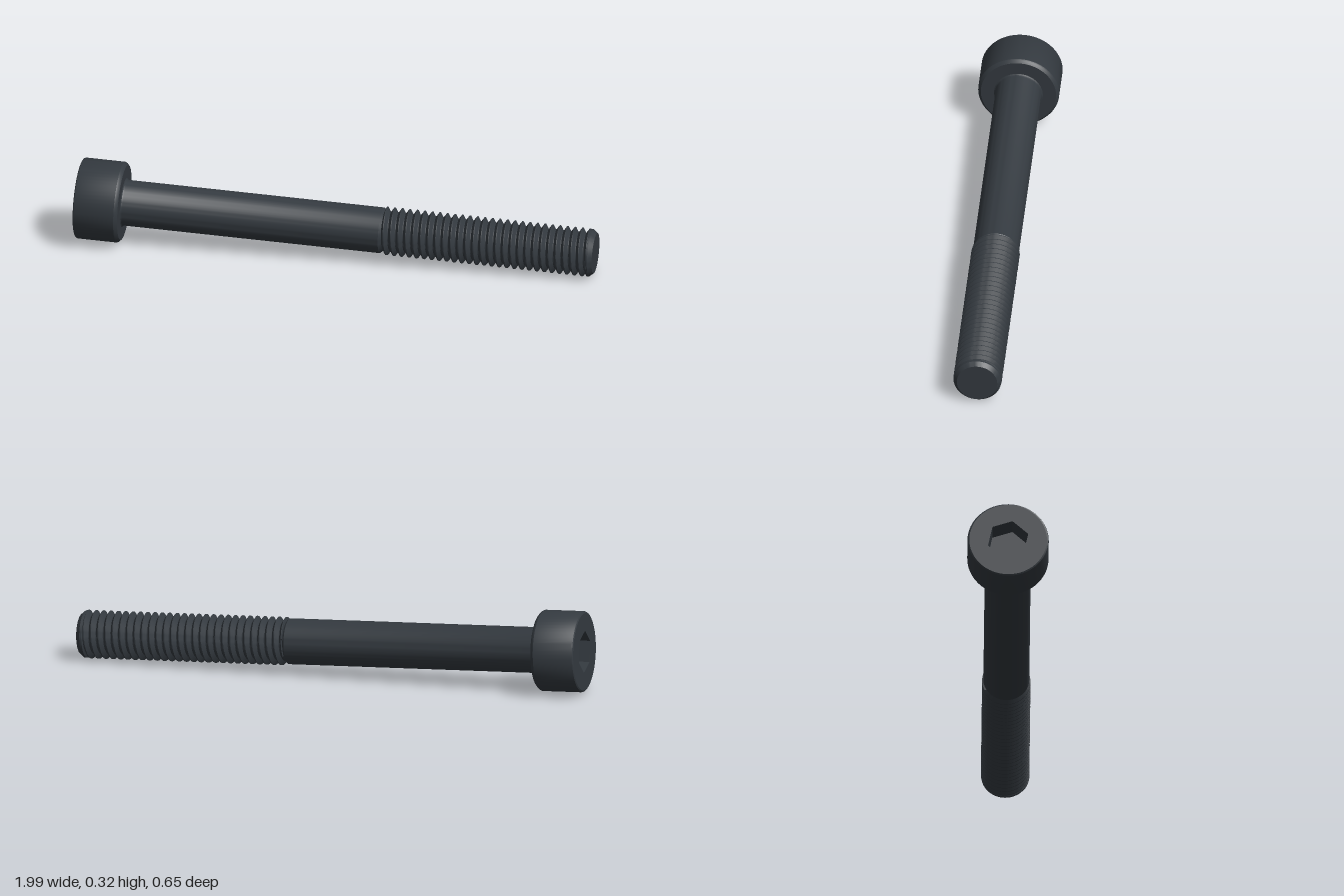
import * as THREE from 'three';
import { toCreasedNormals } from 'three/addons/utils/BufferGeometryUtils.js';

const SEGMENTS = 64;
const HEX_RADIUS = 0.08, HEX_DEPTH = 0.09;
const RIM = 0.147; // radius of the flat rear face of the head

// Surface of revolution about y from [radius, height] pairs
function turned(points) {
  const profile = points.map(([r, y]) => new THREE.Vector2(r, y));
  return toCreasedNormals(new THREE.LatheGeometry(profile, SEGMENTS), 0.4);
}

// Right-handed V thread: each row is one turn, sheared along the axis by its pitch
function threadGeometry(start, end, pitch, crest, root) {
  const section = [[0, root], [0.12, root], [0.5, crest], [0.62, crest]];
  const positions = [], index = [];
  const turns = Math.ceil((end - start) / pitch);
  let rows = 0;
  for (let k = -1; k <= turns; k++) {
    for (const [f, radius] of section) {
      for (let j = 0; j <= SEGMENTS; j++) {
        const t = j / SEGMENTS, a = t * Math.PI * 2;
        const s = start + pitch * (k + f + t);
        const r = s <= start || s >= end ? root : radius;
        positions.push(r * Math.sin(a), THREE.MathUtils.clamp(s, start, end), r * Math.cos(a));
      }
      rows++;
    }
  }
  const w = SEGMENTS + 1;
  for (let i = 0; i < rows - 1; i++) {
    for (let j = 0; j < SEGMENTS; j++) {
      const a = i * w + j, b = a + 1, c = b + w, d = a + w;
      index.push(a, b, c, a, c, d);
    }
  }
  const geometry = new THREE.BufferGeometry();
  geometry.setAttribute('position', new THREE.Float32BufferAttribute(positions, 3));
  geometry.setIndex(index);
  geometry.computeVertexNormals();
  return toCreasedNormals(geometry, 0.4);
}

export function createModel() {
  const steel = new THREE.MeshStandardMaterial({ color: 0x343a40, side: THREE.DoubleSide });
  steel.name = 'blackened steel';

  const bolt = new THREE.Group();
  bolt.name = 'socketHeadBolt';
  const add = (name, geometry) => {
    const mesh = new THREE.Mesh(geometry, steel);
    mesh.name = name;
    bolt.add(mesh);
    return mesh;
  };

  // Head: cylinder with bevelled rims and a flat underside
  add('head', turned([
    [RIM, 0], [0.152, 0.003], [0.154, 0.008],
    [0.154, 0.158], [0.151, 0.164], [0.143, 0.171], [0.085, 0.171],
  ]));

  // Rear face pierced by the hexagonal socket
  const face = new THREE.Shape().absarc(0, 0, RIM, 0, Math.PI * 2);
  const hole = new THREE.Path();
  for (let i = 0; i < 6; i++) {
    const a = -i * Math.PI / 3;
    const x = HEX_RADIUS * Math.cos(a), y = HEX_RADIUS * Math.sin(a);
    if (i === 0) hole.moveTo(x, y);
    else hole.lineTo(x, y);
  }
  hole.closePath();
  face.holes.push(hole);
  add('headFace', new THREE.ShapeGeometry(face, SEGMENTS / 2).rotateX(Math.PI / 2));

  // Socket walls and floor
  const walls = new THREE.CylinderGeometry(HEX_RADIUS, HEX_RADIUS, HEX_DEPTH, 6, 1, true, Math.PI / 2);
  add('socketWalls', toCreasedNormals(walls, 0.4)).position.y = HEX_DEPTH / 2;
  add('socketFloor', new THREE.CircleGeometry(HEX_RADIUS, 6).rotateX(Math.PI / 2)).position.y = HEX_DEPTH;

  // Plain shank with a small fillet under the head
  add('shank', turned([
    [0.094, 0.17], [0.089, 0.174], [0.087, 0.18], [0.087, 1.166], [0.075, 1.18],
  ]));

  // Threaded length and chamfered tip
  add('thread', threadGeometry(1.172, 1.972, 0.029, 0.092, 0.075));
  add('tip', turned([
    [0.075, 1.958], [0.09, 1.966], [0.09, 1.974], [0.077, 1.99], [0, 1.99],
  ]));

  // Lay the bolt down, head at the rear right and tip at the front left
  const headEnd = new THREE.Vector3(-0.966, 0.163, -0.175);
  const tipEnd = new THREE.Vector3(0.98, 0.092, 0.24);
  bolt.quaternion.setFromUnitVectors(
    new THREE.Vector3(0, 1, 0), tipEnd.clone().sub(headEnd).normalize());
  bolt.position.copy(headEnd);

  const model = new THREE.Group();
  model.name = 'bolt';
  model.add(bolt);
  return model;
}
